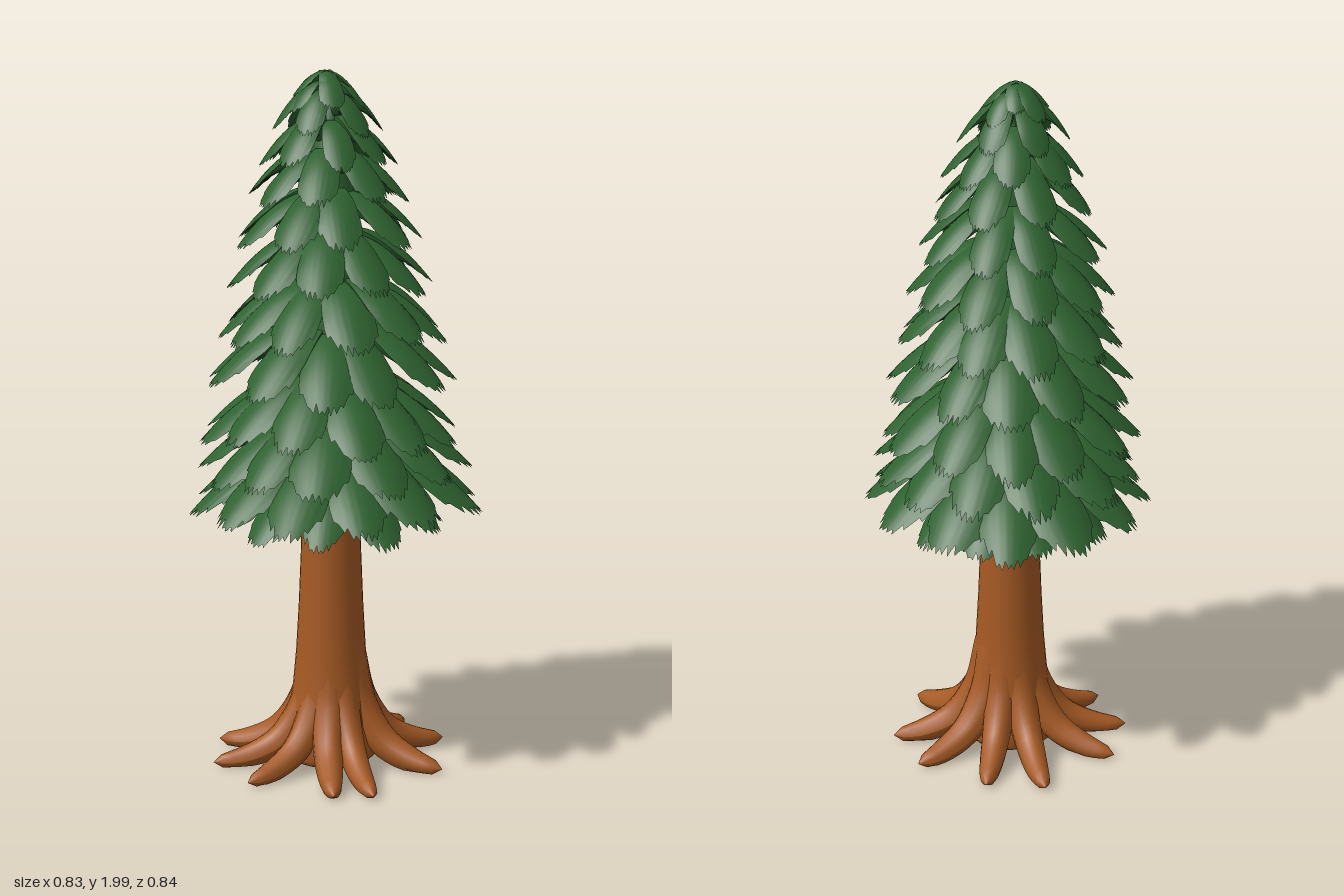
import * as THREE from 'three';
import { mergeGeometries } from 'three/addons/utils/BufferGeometryUtils.js';

// Small seeded generator for natural variation, in -1..1
let seed = 7;
const jitter = () => {
  seed = (seed * 16807) % 2147483647;
  return (seed / 2147483647) * 2 - 1;
};

// Tiers of branches: [tip height, radius, branch count, drop from base to tip]
const TIERS = [
  [0.725, 0.32, 10, 0.17],
  [0.775, 0.42, 12, 0.19],
  [0.875, 0.385, 12, 0.18],
  [0.985, 0.37, 12, 0.18],
  [1.125, 0.35, 11, 0.18],
  [1.265, 0.325, 11, 0.17],
  [1.4, 0.295, 10, 0.16],
  [1.53, 0.265, 9, 0.15],
  [1.645, 0.23, 8, 0.14],
  [1.745, 0.195, 8, 0.13],
  [1.83, 0.155, 6, 0.12],
  [1.895, 0.115, 5, 0.085],
  [1.93, 0.09, 4, 0.068],
];

// One full, drooping branch with a domed top, flat underside and ragged tip, pointing along +z
function branchGeometry(r0, r1, width, tipY, drop) {
  const rows = 9, cols = 16, pos = [], index = [];
  const ends = [];
  for (let j = 0; j <= cols; j++) {
    const v = (j / cols) * 2 - 1;
    const tooth = j % 2 ? 0.05 + 0.035 * jitter() : 0.01 * jitter();
    ends.push(1 - 0.24 * Math.abs(v) ** 3 - tooth);
  }
  for (const under of [0, 1]) {
    const start = pos.length / 3;
    for (let i = 0; i <= rows; i++) {
      for (let j = 0; j <= cols; j++) {
        const u = i / rows, v = (j / cols) * 2 - 1, s = u * ends[j];
        const spread = 0.5 + 0.5 * Math.sin(Math.min(1, s / 0.7) * Math.PI / 2);
        const taper = 1 - 0.2 * Math.max(0, s - 0.7) / 0.3;
        const dome = 0.42 * width * v * v * Math.min(1, s * 2);
        const thick = under * 0.55 * drop * Math.sqrt(1 - v * v) * (1 - u);
        pos.push(v * width * spread * taper,
          tipY + drop * (1 - s ** 1.9) - dome - thick,
          r0 + (r1 - r0) * s);
      }
    }
    for (let i = 0; i < rows; i++) {
      for (let j = 0; j < cols; j++) {
        const a = start + i * (cols + 1) + j, b = a + cols + 1, c = a + 1, d = b + 1;
        if (under) index.push(a, c, b, c, d, b);
        else index.push(a, b, c, c, b, d);
      }
    }
  }
  const g = new THREE.BufferGeometry();
  g.setAttribute('position', new THREE.Float32BufferAttribute(pos, 3));
  g.setIndex(index);
  g.computeVertexNormals();
  return g;
}

// A ring of branches, alternating with the tier below
function tierGeometry([tipY, radius, count, drop], k) {
  const parts = [], wobble = k === TIERS.length - 1 ? 0 : 1;
  for (let i = 0; i < count; i++) {
    const r = radius * (1 + 0.03 * jitter() * wobble);
    const width = (0.014 + 0.17 * radius) * (1 + 0.08 * jitter());
    const inner = radius * 0.2 * wobble;
    const g = branchGeometry(inner, r, width, tipY + 0.012 * jitter() * wobble, drop);
    const angle = ((i + (k % 2 ? 0 : 0.5) * wobble) / count) * Math.PI * 2;
    parts.push(g.rotateY(angle + 0.06 * jitter() * wobble));
  }
  return mergeGeometries(parts);
}

// A tapering root that leaves the trunk and runs out along the ground
function rootGeometry(angle, reach) {
  const bend = 0.035 * jitter(), size = 1 + 0.12 * jitter();
  const path = new THREE.CatmullRomCurve3([
    new THREE.Vector3(0, 0.32, 0.04),
    new THREE.Vector3(0, 0.18, 0.082),
    new THREE.Vector3(bend * 0.3, 0.075, 0.16),
    new THREE.Vector3(bend, 0.03, 0.26),
    new THREE.Vector3(bend * 1.6, 0.022, reach),
  ]);
  const rows = 18, sides = 12;
  const g = new THREE.TubeGeometry(path, rows, 1, sides);
  const p = g.attributes.position, v = new THREE.Vector3();
  for (let k = 0; k < p.count; k++) {
    const t = Math.floor(k / (sides + 1)) / rows;
    const c = path.getPointAt(t);
    const r = size * (0.058 - 0.026 * t) * Math.sqrt(Math.max(0, 1 - t ** 8));
    v.fromBufferAttribute(p, k).sub(c).multiplyScalar(r).add(c);
    p.setXYZ(k, v.x, Math.max(v.y, 0.006), v.z);
  }
  g.computeVertexNormals();
  return g.rotateY(angle);
}

const lathe = (points, sides) =>
  new THREE.LatheGeometry(points.map(([r, y]) => new THREE.Vector2(r, y)), sides);

export function createModel() {
  const needles = new THREE.MeshStandardMaterial({ color: 0x2e6130, side: THREE.DoubleSide });
  needles.name = 'needleGreen';
  const bark = new THREE.MeshStandardMaterial({ color: 0xa65a24 });
  bark.name = 'barkBrown';

  const tree = new THREE.Group();
  tree.name = 'tree';
  const add = (name, geometry, material, x = 0) => {
    const mesh = new THREE.Mesh(geometry, material);
    mesh.name = name;
    mesh.position.x = x;
    tree.add(mesh);
  };

  // Trunk with a flared foot
  add('trunk', lathe([
    [0, 0.03], [0.12, 0.015], [0.145, 0.04], [0.135, 0.09], [0.122, 0.16], [0.11, 0.24],
    [0.101, 0.34], [0.093, 0.48], [0.086, 0.65], [0.083, 0.8], [0.06, 1.2], [0, 1.8],
  ], 32), bark, -0.01);

  // Spreading roots
  const rootCount = 10;
  for (let i = 0; i < rootCount; i++) {
    const angle = ((i + 0.5) / rootCount) * Math.PI * 2 + 0.12 * jitter();
    add(`root${i + 1}`, rootGeometry(angle, 0.345 + 0.015 * jitter()), bark, -0.005);
  }

  // Inner foliage that closes gaps between the tiers
  add('foliageCore', lathe([
    [0.07, 0.82], [0.12, 0.86], [0.14, 0.95], [0.12, 1.25], [0.09, 1.55], [0.05, 1.8], [0, 1.95],
  ], 20), needles, -0.012);

  // Overlapping tiers of branches, leaning slightly toward the top
  TIERS.forEach((tier, k) => {
    const lean = -0.025 * (k / (TIERS.length - 1));
    add(`branchTier${k + 1}`, tierGeometry(tier, k), needles, lean);
  });
  return tree;
}
